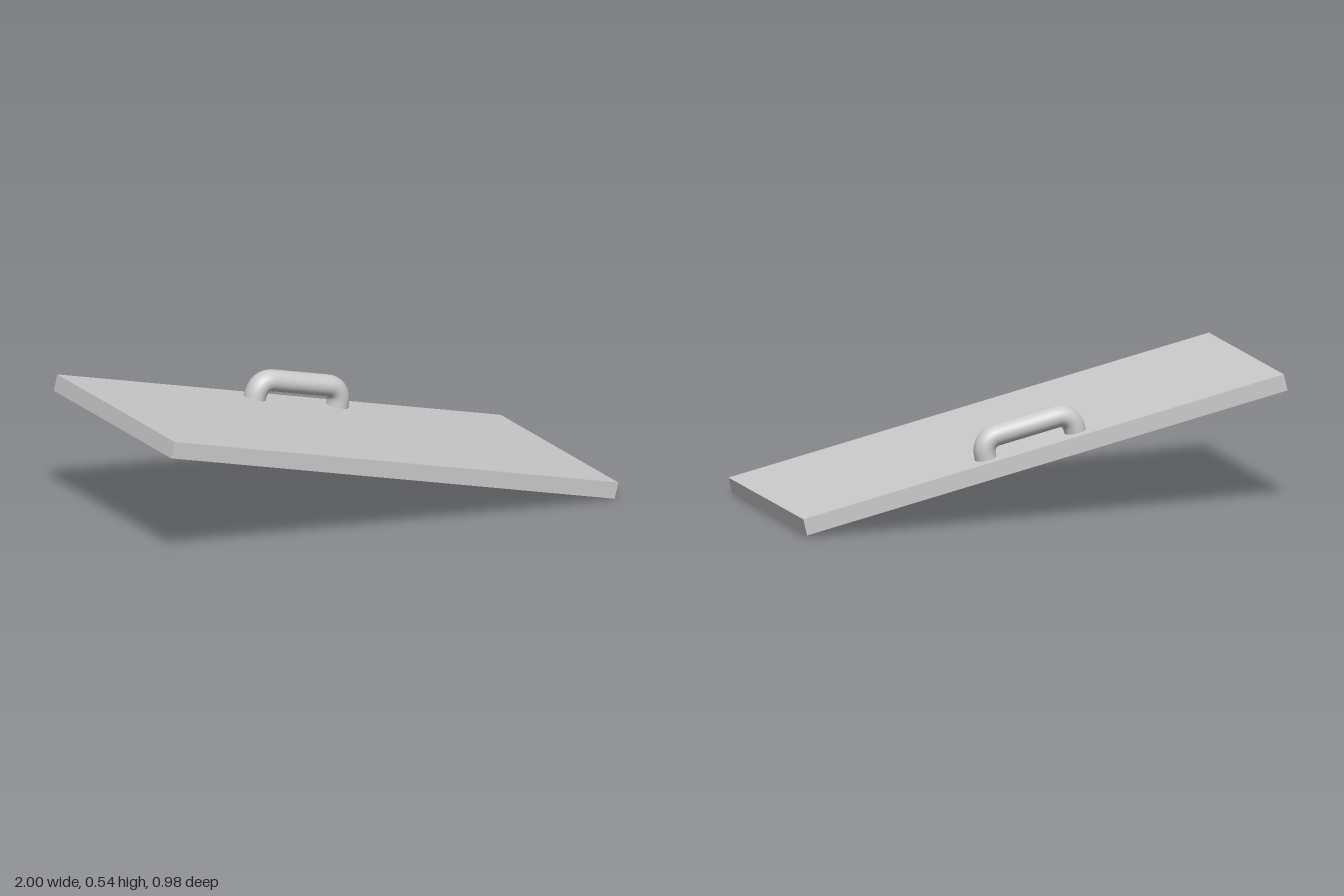
import * as THREE from 'three';

export function createModel() {
  const model = new THREE.Group();
  const material = new THREE.MeshStandardMaterial({ color: 0xcccccc });

  // Everything is built flat, then tilted as one panel
  const panel = new THREE.Group();
  panel.name = 'panel';
  panel.position.y = 0.271;
  panel.rotation.set(0.0077, 0, -0.231);
  model.add(panel);

  // Flat board
  const board = new THREE.Mesh(new THREE.BoxGeometry(2.038, 0.067, 0.973), material);
  board.name = 'board';
  panel.add(board);

  // Bow handle: two short legs, rounded bends and a straight grip
  const p = (x, y) => new THREE.Vector3(x, y, 0);
  const path = new THREE.CurvePath();
  path.add(new THREE.LineCurve3(p(-0.191, 0.015), p(-0.189, 0.05)));
  path.add(new THREE.CubicBezierCurve3(p(-0.189, 0.05), p(-0.187, 0.085), p(-0.165, 0.111), p(-0.125, 0.111)));
  path.add(new THREE.LineCurve3(p(-0.125, 0.111), p(0.125, 0.111)));
  path.add(new THREE.CubicBezierCurve3(p(0.125, 0.111), p(0.165, 0.111), p(0.187, 0.085), p(0.189, 0.05)));
  path.add(new THREE.LineCurve3(p(0.189, 0.05), p(0.191, 0.015)));

  const handle = new THREE.Mesh(new THREE.TubeGeometry(path, 64, 0.043, 32), material);
  handle.name = 'handle';
  handle.scale.z = 1.12; // slightly oval section
  handle.position.set(0.025, 0, -0.392);
  panel.add(handle);

  return model;
}
